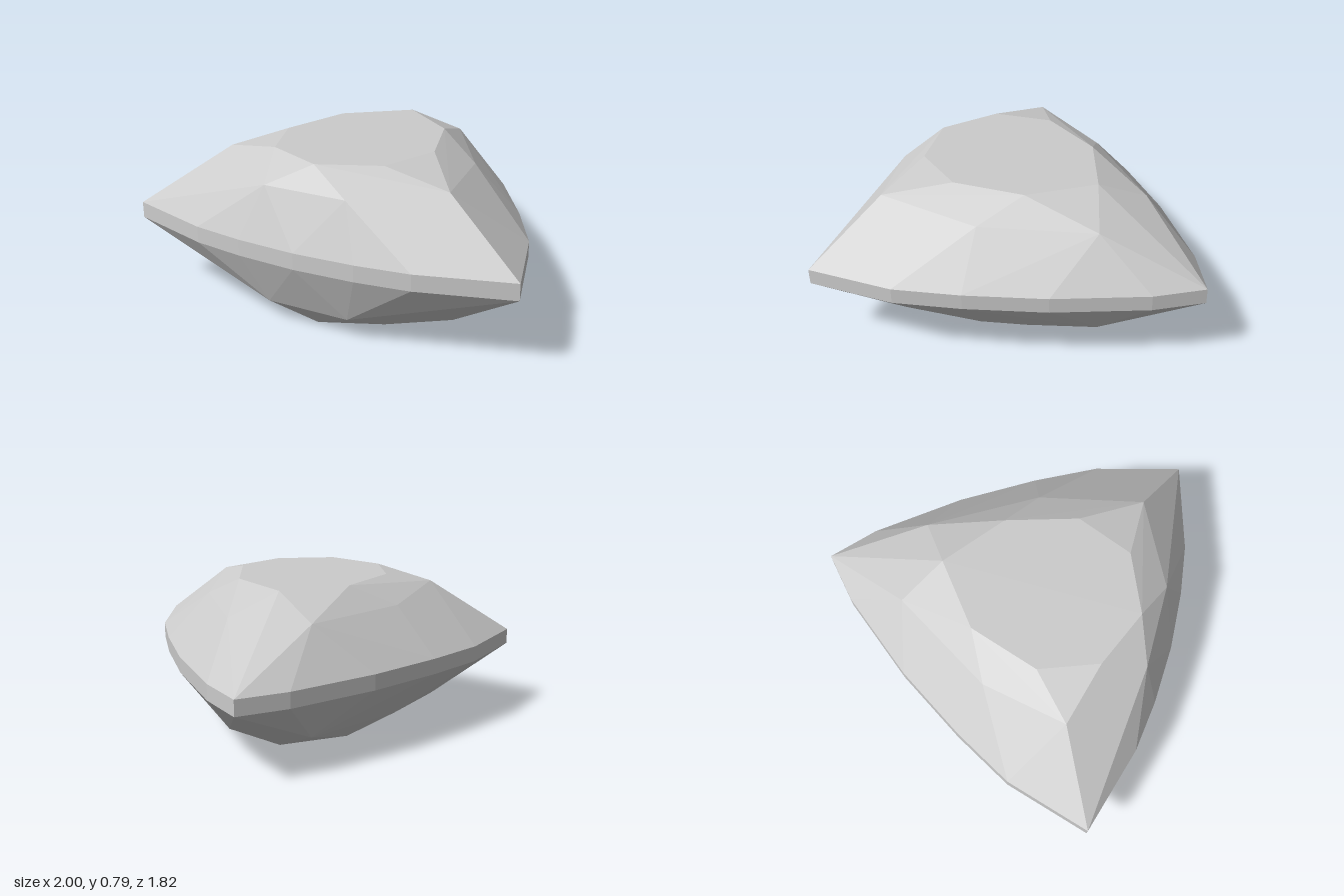
import * as THREE from 'three';
import { ConvexGeometry } from 'three/addons/geometries/ConvexGeometry.js';

const HEIGHT = 0.79, GIRDLE_LOW = 0.355, GIRDLE_HIGH = 0.435;

// Half outline of the girdle from the back tip to the front middle, as [x, z]
const outline = [[0, -0.91], [0.2, -0.73], [0.5, -0.35], [0.72, 0], [0.88, 0.3],
  [1, 0.73], [0.56, 0.86], [0.3, 0.895], [0, 0.91]];
// Half outline of the flat table, as [x, z]
const table = [[0, -0.28], [0.29, -0.05], [0.4, 0.3], [0.29, 0.585], [0, 0.71]];
// Facet corners between table and girdle, as [x, y, z]
const mirroredCorners = [[0.21, 0.675, -0.43], [0.51, 0.68, 0.07], [0.21, 0.685, 0.8]];
const unevenCorners = [[0.61, 0.72, 0.585], [-0.6, 0.73, 0.5]];

const mirror = (list) => list.flatMap(([x, y, z]) => (x ? [[x, y, z], [-x, y, z]] : [[x, y, z]]));
const atHeight = (list, y) => list.map(([x, z]) => [x, y, z]);

export function createModel() {
  // Upper half; the lower half is the same cut turned half round the z axis
  const upper = [
    ...mirror(atHeight(outline, GIRDLE_HIGH)),
    ...mirror(atHeight(table, HEIGHT)),
    ...mirror(mirroredCorners),
    ...unevenCorners,
  ];
  const lower = upper.map(([x, y, z]) => [-x, HEIGHT - y, z]);
  const stone = new ConvexGeometry([...upper, ...lower].map((p) => new THREE.Vector3(...p)));

  // Sort the facets into crown, girdle band and pavilion by their height
  const parts = { crown: [], girdle: [], pavilion: [] };
  const pos = stone.attributes.position;
  for (let i = 0; i < pos.count; i += 3) {
    const y = (pos.getY(i) + pos.getY(i + 1) + pos.getY(i + 2)) / 3;
    const name = y > GIRDLE_HIGH + 0.001 ? 'crown' : y < GIRDLE_LOW - 0.001 ? 'pavilion' : 'girdle';
    parts[name].push(...pos.array.slice(i * 3, i * 3 + 9));
  }

  const material = new THREE.MeshStandardMaterial({ color: 0xcccccc, flatShading: true });
  const group = new THREE.Group();
  group.name = 'cutGemstone';
  for (const [name, corners] of Object.entries(parts)) {
    const geometry = new THREE.BufferGeometry();
    geometry.setAttribute('position', new THREE.Float32BufferAttribute(corners, 3));
    geometry.computeVertexNormals();
    const mesh = new THREE.Mesh(geometry, material);
    mesh.name = name;
    group.add(mesh);
  }
  return group;
}
